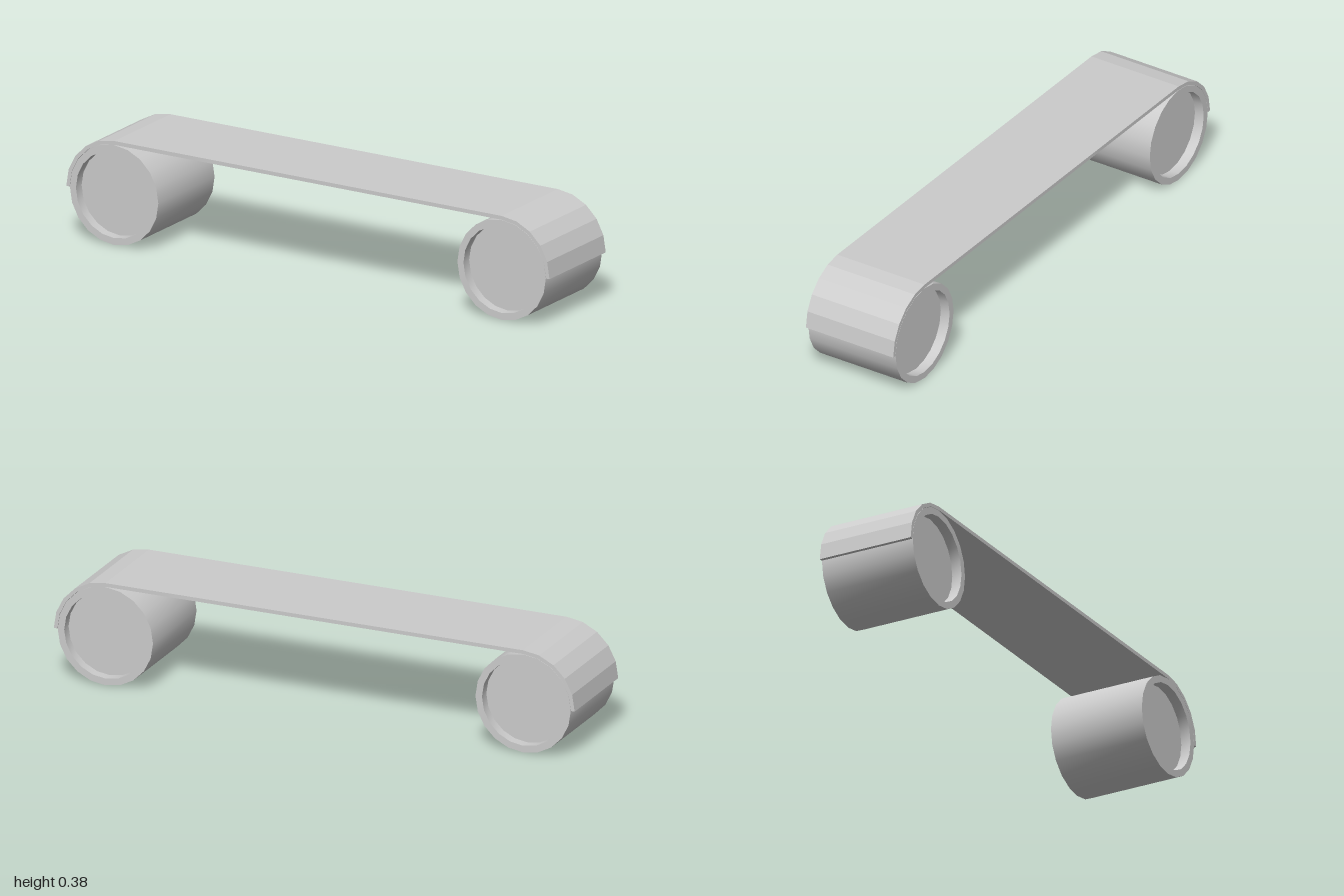
import * as THREE from 'three';
import { toCreasedNormals } from 'three/addons/utils/BufferGeometryUtils.js';

const HALF_WIDTH = 0.183;   // half depth along z
const ROLLER_R = 0.183;
const BELT_R = 0.198;       // outer radius of the belt bend
const BELT_INNER_R = 0.184;
const AXLE_X = 0.802;
const RECESS_R = 0.158;
const RECESS_DEPTH = 0.037;
const SIDES = 20;

const material = new THREE.MeshStandardMaterial({ color: 0xcccccc });

// Drum with a raised rim and a recessed disc at both ends
function rollerGeometry() {
  const h = HALF_WIDTH, d = h - RECESS_DEPTH;
  const profile = [
    [0, -d], [RECESS_R, -d], [RECESS_R, -h], [ROLLER_R, -h],
    [ROLLER_R, h], [RECESS_R, h], [RECESS_R, d], [0, d],
  ].map(([r, y]) => new THREE.Vector2(r, y));
  const geometry = new THREE.LatheGeometry(profile, SIDES).rotateX(Math.PI / 2);
  return toCreasedNormals(geometry, Math.PI / 6);
}

// Quarter bend around one axle, from its outer side (t = 0) up to the top (t = 1)
function bend(side, radius) {
  const steps = SIDES / 4;
  return Array.from({ length: steps + 1 }, (_, i) => {
    const a = (i / steps) * Math.PI / 2;
    return new THREE.Vector2(
      side * (AXLE_X + radius * Math.cos(a)),
      ROLLER_R + radius * Math.sin(a),
    );
  });
}

// Thin strip lying over both drums and ending at axle height
function beltGeometry() {
  const outline = [
    ...bend(1, BELT_R), ...bend(-1, BELT_R).reverse(),
    ...bend(-1, BELT_INNER_R), ...bend(1, BELT_INNER_R).reverse(),
  ];
  return new THREE.ExtrudeGeometry(new THREE.Shape(outline), {
    depth: 2 * HALF_WIDTH, bevelEnabled: false,
  }).translate(0, 0, -HALF_WIDTH);
}

export function createModel() {
  const model = new THREE.Group();
  model.name = 'conveyor';

  const geometry = rollerGeometry();
  for (const [name, side] of [['leftRoller', 1], ['rightRoller', -1]]) {
    const roller = new THREE.Mesh(geometry, material);
    roller.name = name;
    roller.position.set(side * AXLE_X, ROLLER_R, 0);
    model.add(roller);
  }

  const belt = new THREE.Mesh(beltGeometry(), material);
  belt.name = 'belt';
  model.add(belt);
  return model;
}
